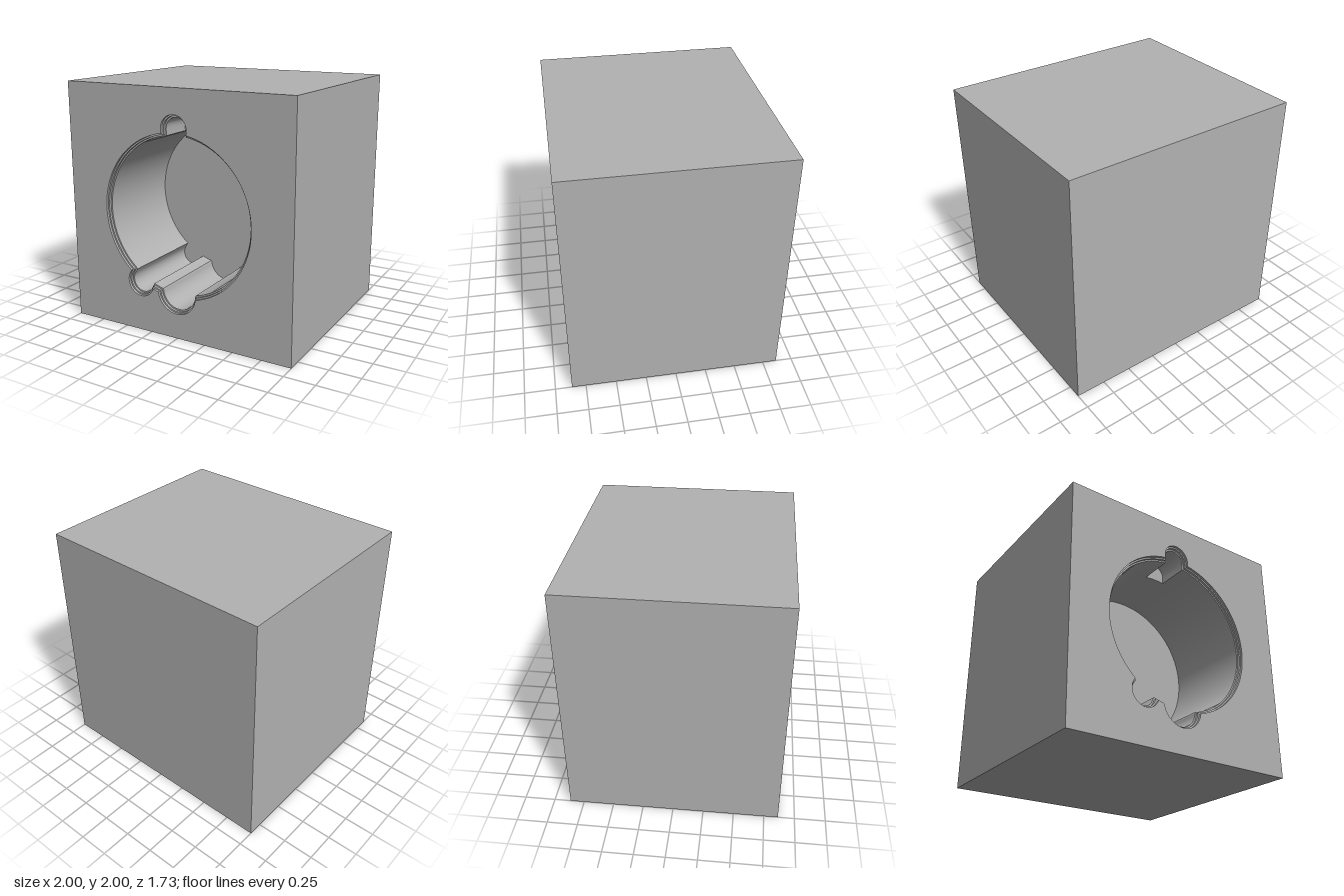
import * as THREE from 'three';
import { toCreasedNormals } from 'three/addons/utils/BufferGeometryUtils.js';

const SAMPLES = 720;
const FRONT = 0.865;

// Round pocket and its round notches: centre relative to the pocket axis, radius at the mouth
const MAIN = [0, 0, 0.66];
const LOWER_NOTCH = [0, -0.615, 0.175];
const SIDE_NOTCH = [-0.34, -0.58, 0.122];
const TOP_NOTCH = [0, 0.685, 0.115];

// Outline of the joined circles, all shrunk by inset, found along rays from the axis
function outline(inset, withTop) {
  const circles = [MAIN, LOWER_NOTCH, SIDE_NOTCH];
  if (withTop) circles.push(TOP_NOTCH);
  const points = [];
  for (let i = 0; i < SAMPLES; i++) {
    const a = (i / SAMPLES) * Math.PI * 2;
    const c = Math.cos(a), s = Math.sin(a);
    let reach = 0;
    for (const [x, y, r] of circles) {
      const along = x * c + y * s;
      const d = (r - inset) ** 2 - (x * x + y * y - along * along);
      if (d >= 0) reach = Math.max(reach, along + Math.sqrt(d));
    }
    points.push(new THREE.Vector2(reach * c, 1 + reach * s));
  }
  return points;
}

// Inward-facing surface through a list of [inset, depth, withTop] rings
function pocketWall(rings) {
  const pos = [];
  const loops = rings.map(([inset, depth, top]) =>
    outline(inset, top).map(p => new THREE.Vector3(p.x, p.y, FRONT - depth)));
  for (let k = 0; k < loops.length - 1; k++) {
    for (let i = 0; i < SAMPLES; i++) {
      const j = (i + 1) % SAMPLES;
      const [a, b, c, d] = [loops[k][i], loops[k][j], loops[k + 1][i], loops[k + 1][j]];
      if (b.distanceTo(d) > 1e-6) pos.push(...a, ...b, ...d);
      if (a.distanceTo(c) > 1e-6) pos.push(...a, ...d, ...c);
    }
  }
  const g = new THREE.BufferGeometry();
  g.setAttribute('position', new THREE.Float32BufferAttribute(pos, 3));
  return toCreasedNormals(g, 0.5);
}

export function createModel() {
  const group = new THREE.Group();
  const grey = new THREE.MeshStandardMaterial({ color: 0xb2b2b2 });
  grey.name = 'grey';
  const add = (name, geometry) => {
    const mesh = new THREE.Mesh(geometry, grey);
    mesh.name = name;
    group.add(mesh);
    return mesh;
  };

  // Block without its front side
  const box = new THREE.BoxGeometry(2, 2, 2 * FRONT);
  const index = Array.from(box.index.array);
  index.splice(24, 6);
  box.setIndex(index);
  box.clearGroups();
  add('block', box).position.y = 1;

  // Front face with the pocket opening
  const face = new THREE.Shape([
    new THREE.Vector2(-1, 0), new THREE.Vector2(1, 0),
    new THREE.Vector2(1, 2), new THREE.Vector2(-1, 2),
  ]);
  face.holes.push(new THREE.Path(outline(0, true)));
  add('frontFace', new THREE.ShapeGeometry(face)).position.z = FRONT;

  // Stepped rim, then the deep wall; the top notch ends partway in
  const step = 0.0125, depth = 0.79, notchDepth = 0.3;
  add('pocketWall', pocketWall([
    [0, 0, true], [0, 0.02, true],
    [step, 0.02, true], [step, 0.04, true],
    [2 * step, 0.04, true], [2 * step, notchDepth, true],
    [2 * step, notchDepth, false], [2 * step, depth, false],
  ]));

  // Flat floor of the pocket
  const floor = new THREE.ShapeGeometry(new THREE.Shape(outline(2 * step, false)));
  add('pocketFloor', floor).position.z = FRONT - depth;

  return group;
}
